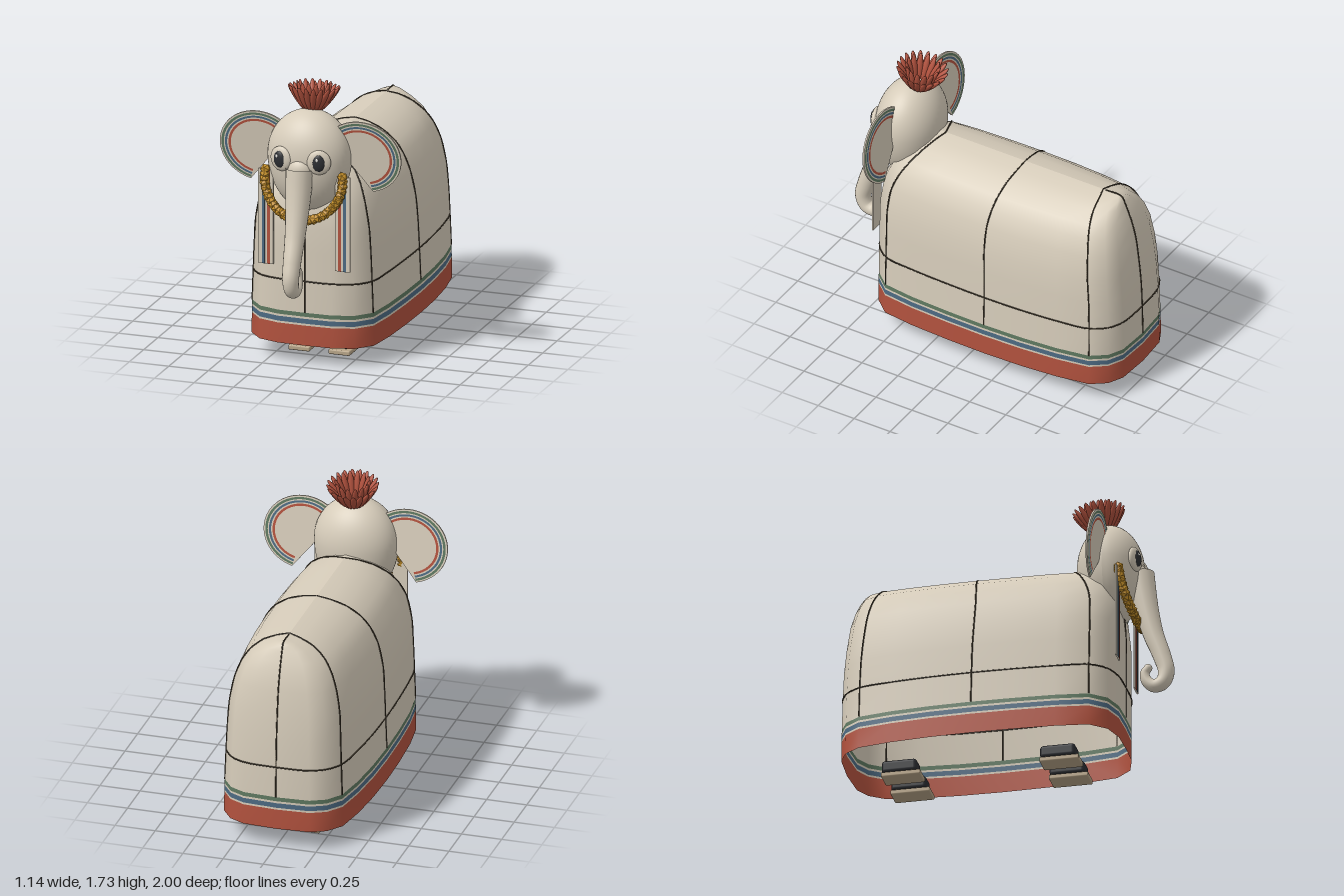
import * as THREE from 'three';
import { RoundedBoxGeometry } from 'three/addons/geometries/RoundedBoxGeometry.js';

const paint = (name, color, side = THREE.FrontSide) => {
  const m = new THREE.MeshStandardMaterial({ color, side });
  m.name = name;
  return m;
};
const V = (x, y, z) => new THREE.Vector3(x, y, z);

export function createModel() {
  const root = new THREE.Group();
  root.name = 'costumeElephant';
  const D = THREE.DoubleSide;
  const cream = paint('creamCloth', 0xd6ccba, D);
  const red = paint('red', 0xb2523e, D);
  const blue = paint('blue', 0x4c6a82, D);
  const green = paint('green', 0x5e7860, D);
  const gold = paint('gold', 0xc8922a);
  gold.flatShading = true;
  const dark = paint('charcoal', 0x2c2e32);
  const tan = paint('tanSole', 0xb8a588);
  const seamMat = paint('seamBrown', 0x453c2e);
  const white = paint('white', 0xf2f0ea);

  const add = (name, geo, mat, parent = root, pos = [0, 0, 0]) => {
    const m = new THREE.Mesh(geo, mat);
    m.name = name;
    m.position.set(...pos);
    parent.add(m);
    return m;
  };
  const ball = (name, mat, pos, scale, parent = root) => {
    const m = add(name, new THREE.SphereGeometry(1, 32, 24), mat, parent, pos);
    m.scale.set(...scale);
    return m;
  };

  // Cloth body: plan outline lofted through height levels [y, halfWidth, zFront, zBack]
  const levels = [
    [0.12, 0.43, 0.7, -1], [0.245, 0.428, 0.7, -0.998], [0.257, 0.428, 0.7, -0.998],
    [0.287, 0.427, 0.7, -0.998], [0.3, 0.427, 0.7, -0.998], [0.325, 0.425, 0.7, -0.997],
    [0.52, 0.417, 0.7, -0.993], [0.7, 0.409, 0.7, -0.985], [0.85, 0.398, 0.7, -0.97],
    [1.0, 0.365, 0.685, -0.95], [1.1, 0.32, 0.645, -0.925], [1.17, 0.265, 0.6, -0.9],
    [1.23, 0.18, 0.55, -0.875], [1.265, 0.085, 0.51, -0.86], [1.28, 0, 0.48, -0.84],
  ];
  const half = [[0, 1], [0.4, 0.995], [0.7, 0.95], [0.9, 0.835], [0.96, 0.6], [0.99, 0.3], [1, 0],
    [0.985, -0.3], [0.94, -0.58], [0.86, -0.82], [0.7, -0.93], [0.48, -0.985], [0, -1]];
  const outline = [...half, ...half.slice(1, -1).reverse().map(([u, v]) => [-u, v])];
  const N = outline.length;
  const bodyPoint = (i, j) => {
    const [y, w, f, b] = levels[i];
    const [u, v] = outline[j % N];
    return V(u * w, y, (f + b) / 2 + (v * (f - b)) / 2);
  };
  const pts = [], index = [];
  const bandOf = { 0: 1, 2: 2, 4: 3 };
  const bodyGeo = new THREE.BufferGeometry();
  for (let i = 0; i < levels.length; i++) {
    for (let j = 0; j < N; j++) pts.push(bodyPoint(i, j));
    if (i === levels.length - 1) break;
    bodyGeo.addGroup(index.length, N * 6, bandOf[i] ?? 0);
    for (let j = 0; j < N; j++) {
      const a = i * N + j, b = i * N + ((j + 1) % N);
      index.push(a, b, b + N, a, b + N, a + N);
    }
  }
  bodyGeo.setFromPoints(pts);
  bodyGeo.setIndex(index);
  bodyGeo.computeVertexNormals();
  add('clothBody', bodyGeo, [cream, red, blue, green]);

  // Seams run along the loft lines
  const seam = (points, closed = false) =>
    add('seam', new THREE.TubeGeometry(new THREE.CatmullRomCurve3(points, closed), 80, 0.0045, 5, closed), seamMat);
  for (const j of [0, 3, 6, 9, 12, N - 9, N - 6, N - 3]) {
    const line = [];
    for (let i = 5; i < levels.length; i++) line.push(bodyPoint(i, j));
    if (j === 12) line.push(V(0, 1.28, -0.74));
    seam(line);
  }
  seam(outline.map((_, j) => bodyPoint(6, j)), true);

  // Shoes
  for (const s of [-1, 1]) for (const z of [0.335, -0.63]) {
    const shoe = new THREE.Group();
    shoe.name = 'shoe';
    shoe.position.set(s * 0.127, 0, z);
    root.add(shoe);
    add('sole', new RoundedBoxGeometry(0.135, 0.03, 0.24, 2, 0.008), tan, shoe, [0, 0.015, 0]);
    add('shoeUpper', new RoundedBoxGeometry(0.118, 0.08, 0.215, 4, 0.022), dark, shoe, [0, 0.07, -0.012]);
  }

  // Egg-shaped head, longer below its middle
  const headGeo = new THREE.SphereGeometry(1, 48, 32);
  const hp = headGeo.attributes.position;
  for (let i = 0; i < hp.count; i++) {
    const y = hp.getY(i);
    hp.setXYZ(i, hp.getX(i) * 0.258, y * (y > 0 ? 0.28 : 0.35), hp.getZ(i) * 0.2);
  }
  headGeo.computeVertexNormals();
  add('head', headGeo, cream, root, [0, 1.29, 0.61]);

  // Tapered trunk with curled tip
  const trunkPath = new THREE.CatmullRomCurve3([
    V(0, 1.25, 0.79), V(0, 1.12, 0.808), V(0, 0.98, 0.835), V(0, 0.84, 0.872), V(0, 0.7, 0.922),
    V(0, 0.6, 0.946), V(0, 0.535, 0.925), V(0, 0.515, 0.875), V(0, 0.55, 0.828), V(0, 0.605, 0.815), V(0, 0.635, 0.835)]);
  const radii = [0.083, 0.08, 0.075, 0.069, 0.063, 0.058, 0.054, 0.05, 0.044, 0.034, 0.025];
  const rings = 80, sides = 20;
  const trunkGeo = new THREE.TubeGeometry(trunkPath, rings, 1, sides);
  const tp = trunkGeo.attributes.position;
  const p = V(0, 0, 0);
  for (let i = 0; i <= rings; i++) {
    const c = trunkPath.getPointAt(i / rings);
    const k = (i / rings) * (radii.length - 1), n = Math.min(Math.floor(k), radii.length - 2);
    const r = THREE.MathUtils.lerp(radii[n], radii[n + 1], k - n);
    for (let j = 0; j <= sides; j++) {
      const q = i * (sides + 1) + j;
      p.fromBufferAttribute(tp, q).sub(c).multiplyScalar(r).add(c);
      tp.setXYZ(q, p.x, p.y, p.z);
    }
  }
  add('trunk', trunkGeo, cream);
  ball('trunkTip', cream, [0, 0.635, 0.835], [0.025, 0.025, 0.025]);
  ball('trunkBridge', cream, [0, 1.24, 0.775], [0.077, 0.075, 0.06]);

  // Eyes, ears, chest ribbons, mirrored
  const sector = (r0, r1) => {
    const g = new THREE.RingGeometry(r0, r1, 64, 1, -1.32, 3.92);
    return g.scale(0.247, 0.227, 1);
  };
  const earShape = new THREE.Shape();
  earShape.moveTo(0, 0);
  earShape.absellipse(0, 0, 0.247, 0.227, -1.32, 2.6, false);
  earShape.closePath();
  const earGeo = new THREE.ExtrudeGeometry(earShape, { depth: 0.01, bevelEnabled: false, curveSegments: 48 });
  earGeo.translate(0, 0, -0.005);
  for (const s of [-1, 1]) {
    const eye = new THREE.Group();
    eye.name = 'eye';
    eye.position.set(s * 0.12, 1.3, 0.783);
    eye.rotation.y = s * 0.25;
    root.add(eye);
    ball('eyelid', cream, [0, 0, 0], [0.072, 0.076, 0.026], eye);
    ball('pupil', dark, [0, 0, 0.016], [0.038, 0.052, 0.018], eye);
    ball('eyeGlint', white, [-0.01, 0.022, 0.031], [0.008, 0.011, 0.004], eye);

    const ear = new THREE.Group();
    ear.name = 'ear';
    ear.position.set(s * 0.325, 1.303, 0.597);
    ear.rotation.x = 0.135;
    if (s < 0) ear.scale.x = -1;
    root.add(ear);
    add('earPlate', earGeo, cream, ear);
    for (const z of [-0.007, 0.007]) {
      add('earGreenStripe', sector(0.895, 0.955), green, ear, [0, 0, z]);
      add('earBlueStripe', sector(0.81, 0.865), blue, ear, [0, 0, z]);
      add('earRedStripe', sector(0.715, 0.775), red, ear, [0, 0, z]);
    }

    const ribbon = new THREE.Group();
    ribbon.name = 'chestRibbon';
    ribbon.position.set(s * 0.243, 0.905, 0.705);
    root.add(ribbon);
    add('ribbonCloth', new THREE.BoxGeometry(0.095, 0.59, 0.01), cream, ribbon);
    add('ribbonBlueStripe', new THREE.BoxGeometry(0.018, 0.59, 0.004), blue, ribbon, [s * 0.014, 0, 0.006]);
    add('ribbonRedStripe', new THREE.BoxGeometry(0.018, 0.59, 0.004), red, ribbon, [s * -0.018, 0, 0.006]);
  }

  // Bead necklace
  const side = [[0.243, 1.2, 0.71], [0.243, 1.12, 0.725], [0.205, 1.03, 0.745], [0.12, 0.955, 0.77]];
  const neckPath = new THREE.CatmullRomCurve3([
    ...side.map(([x, y, z]) => V(-x, y, z)), V(0, 0.925, 0.78), ...side.reverse().map((a) => V(...a))]);
  const beadGeo = new THREE.IcosahedronGeometry(0.033, 0);
  const beads = 30;
  for (let i = 0; i <= beads; i++) {
    const bead = add('necklaceBead', beadGeo, gold);
    bead.position.copy(neckPath.getPointAt(i / beads));
    bead.rotation.set(i * 0.7, i * 0.3, i * 0.5);
  }

  // Feather crown, two rings leaning outward
  const crown = new THREE.Group();
  crown.name = 'featherCrown';
  crown.position.set(0, 1.555, 0.555);
  crown.rotation.x = -0.15;
  root.add(crown);
  const featherGeo = new THREE.SphereGeometry(1, 12, 10);
  featherGeo.scale(0.02, 0.09, 0.014).translate(0, 0.085, 0);
  for (const [count, tilt, base] of [[20, 0.62, 0.055], [14, 0.32, 0.05]]) {
    for (let i = 0; i < count; i++) {
      const spoke = new THREE.Group();
      spoke.name = 'featherSpoke';
      spoke.rotation.y = (i / count) * Math.PI * 2;
      crown.add(spoke);
      add('feather', featherGeo, red, spoke, [0, 0, base]).rotation.x = tilt;
    }
  }
  return root;
}
